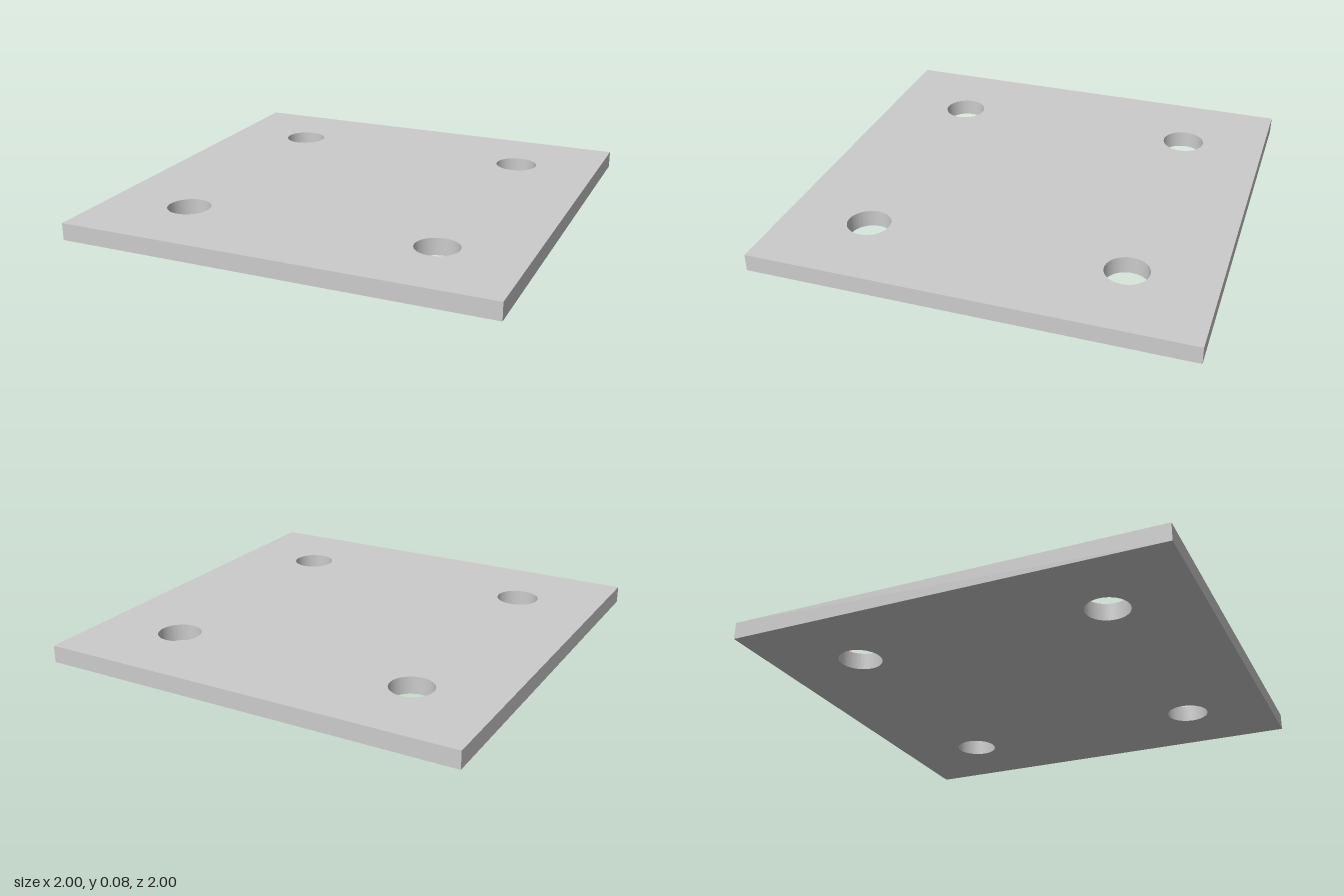
import * as THREE from 'three';
import { toCreasedNormals } from 'three/addons/utils/BufferGeometryUtils.js';

const SIZE = 2, THICKNESS = 0.08, HOLE_RADIUS = 0.1, HOLE_OFFSET = 0.6;

export function createModel() {
  const group = new THREE.Group();
  group.name = 'mountingPlate';

  // Square outline
  const h = SIZE / 2;
  const outline = new THREE.Shape([
    new THREE.Vector2(-h, -h),
    new THREE.Vector2(h, -h),
    new THREE.Vector2(h, h),
    new THREE.Vector2(-h, h),
  ]);

  // Four round through-holes, one towards each corner
  for (const sx of [-1, 1]) {
    for (const sy of [-1, 1]) {
      const hole = new THREE.Path();
      hole.absarc(sx * HOLE_OFFSET, sy * HOLE_OFFSET, HOLE_RADIUS, 0, Math.PI * 2, true);
      outline.holes.push(hole);
    }
  }

  // Extrude upwards; smooth hole walls, sharp plate edges
  const extruded = new THREE.ExtrudeGeometry(outline, {
    depth: THICKNESS,
    bevelEnabled: false,
    curveSegments: 48,
  });
  extruded.rotateX(-Math.PI / 2);
  const plate = new THREE.Mesh(
    toCreasedNormals(extruded, Math.PI / 6),
    new THREE.MeshStandardMaterial({ color: 0xcccccc })
  );
  plate.name = 'plate';
  group.add(plate);

  return group;
}
